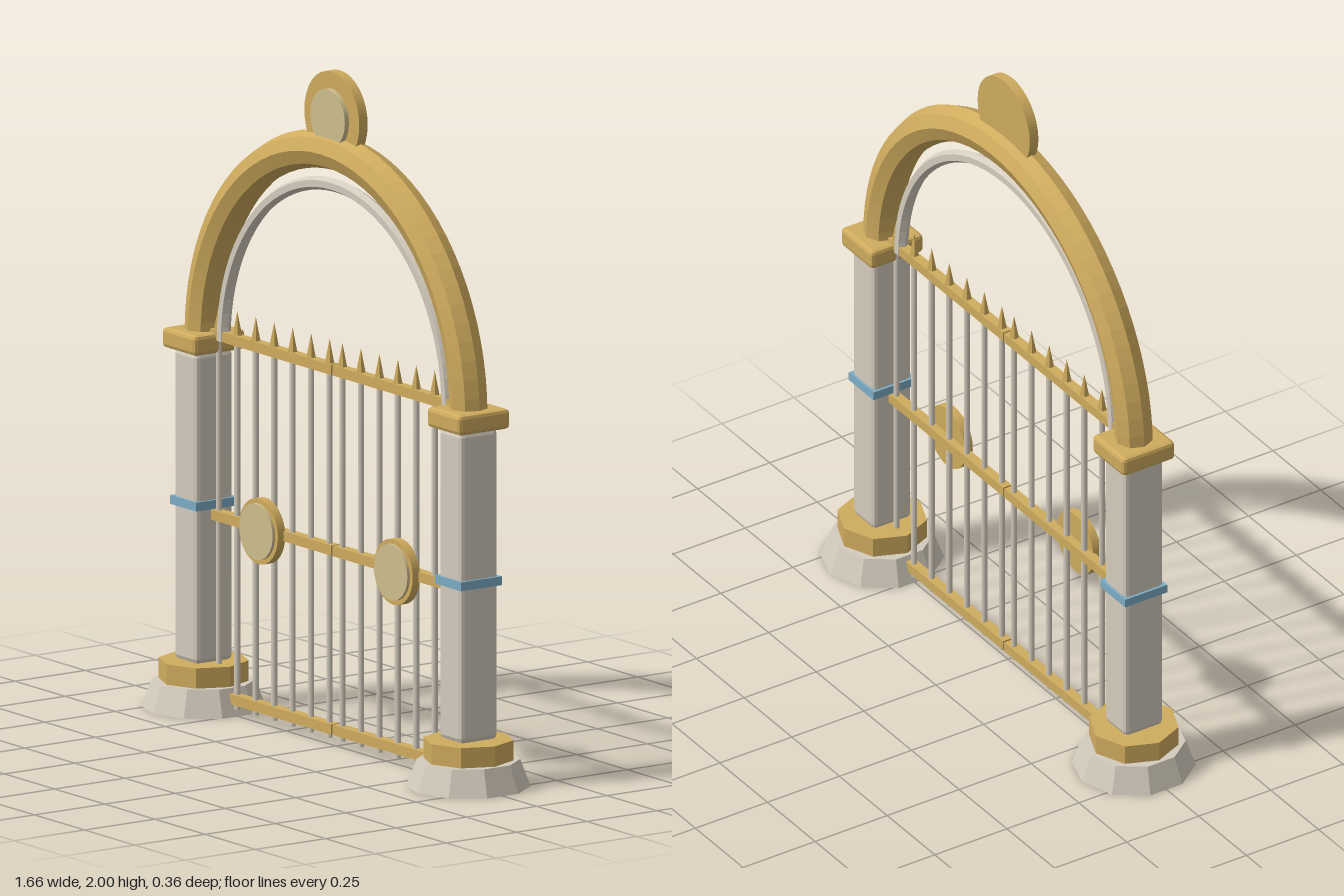
import * as THREE from 'three';
import { RoundedBoxGeometry } from 'three/addons/geometries/RoundedBoxGeometry.js';

const mat = (name, color) => {
  const m = new THREE.MeshStandardMaterial({ color });
  m.name = name;
  return m;
};

// Give every face its own normal for a crisp low-poly look
function faceted(geometry) {
  const g = geometry.index ? geometry.toNonIndexed() : geometry;
  g.computeVertexNormals();
  return g;
}

export function createModel() {
  const gold = mat('gold', 0xd0ac5e);
  const paleGold = mat('pale gold', 0xd0c08e);
  const stone = mat('stone', 0xd4ccbd);
  const blue = mat('blue', 0x7dadc6);

  const model = new THREE.Group();
  model.name = 'archedGate';

  const add = (parent, name, geometry, material, x = 0, y = 0, z = 0) => {
    const mesh = new THREE.Mesh(geometry, material);
    mesh.name = name;
    mesh.position.set(x, y, z);
    parent.add(mesh);
    return mesh;
  };
  const group = (name) => {
    const g = new THREE.Group();
    g.name = name;
    model.add(g);
    return g;
  };

  // Chamfered box standing from y0 to y1
  const block = (w, y0, y1, d, r) => {
    const g = faceted(new RoundedBoxGeometry(w, y1 - y0, d, 1, r));
    return g.translate(0, (y0 + y1) / 2, 0);
  };
  // Round plate facing the front, from z0 to z1
  const disc = (r, z0, z1) =>
    new THREE.CylinderGeometry(r, r, z1 - z0, 32).rotateX(Math.PI / 2).translate(0, 0, (z0 + z1) / 2);

  // Shared geometries
  const base = faceted(new THREE.CylinderGeometry(0.15, 0.18, 0.08, 10)).translate(0, 0.04, 0);
  const plinth = faceted(new THREE.CylinderGeometry(0.132, 0.132, 0.06, 8)).translate(0, 0.11, 0);
  const shaft = block(0.114, 0.14, 1.06, 0.132, 0.014);
  const band = new THREE.BoxGeometry(0.13, 0.026, 0.146).translate(0, 0.61, 0);
  const cap = block(0.166, 1.06, 1.12, 0.182, 0.012);
  const rail = new THREE.BoxGeometry(0.604, 0.03, 0.03);
  const bar = new THREE.CylinderGeometry(0.009, 0.009, 1.1, 8).translate(0, 0.57, 0);
  const spear = faceted(new THREE.ConeGeometry(0.016, 0.075, 6)).translate(0, 1.163, 0);

  for (const [label, side] of [['left', 1], ['right', -1]]) {
    // Pillar
    const pillar = group(label + 'Pillar');
    pillar.position.x = side * 0.66;
    add(pillar, 'base', base, stone);
    add(pillar, 'plinth', plinth, gold);
    add(pillar, 'shaft', shaft, stone);
    add(pillar, 'band', band, blue);
    add(pillar, 'cap', cap, gold);

    // Gate leaf
    const leaf = group(label + 'GateLeaf');
    for (const y of [0.05, 0.58, 1.115]) add(leaf, 'rail', rail, gold, side * 0.305, y);
    for (let i = 0; i < 7; i++) {
      const x = side * (0.032 + 0.092 * i);
      add(leaf, 'bar', bar, stone, x);
      add(leaf, 'spearhead', spear, gold, x);
    }
    add(leaf, 'medallion', disc(0.097, 0.01, 0.036), gold, side * 0.336, 0.58);
    add(leaf, 'medallionFace', disc(0.083, 0.036, 0.045), paleGold, side * 0.336, 0.58);
  }

  // Arches springing from the pillar caps
  const arch = group('arch');
  add(arch, 'outerArch', faceted(new THREE.TorusGeometry(0.66, 0.056, 8, 40, Math.PI)), gold, 0, 1.1);
  add(arch, 'innerArch', faceted(new THREE.TorusGeometry(0.56, 0.02, 6, 40, Math.PI)), stone, 0, 1.1);

  // Crowning disc
  const crest = group('crest');
  crest.position.y = 1.863;
  add(crest, 'crestDisc', disc(0.137, -0.015, 0.015), gold);
  add(crest, 'crestFace', disc(0.086, 0.015, 0.03), paleGold);

  return model;
}
